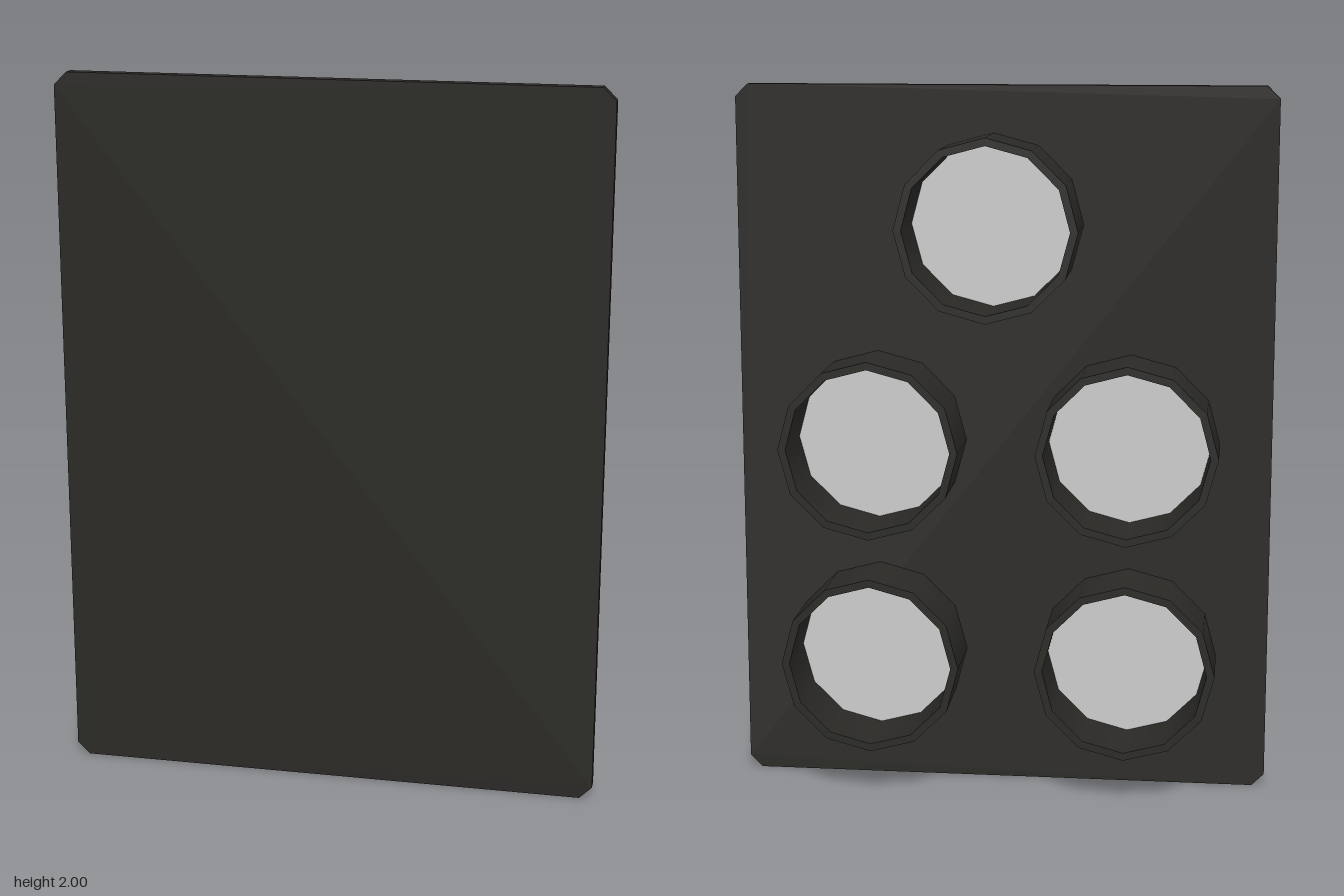
import * as THREE from 'three';

const SIDES = 12;
const BACK = -0.12, PLATE_BACK = 0.085, FRONT = 0.12;
const OUTER = 0.252, INNER = 0.23;

export function createModel() {
  const model = new THREE.Group();
  const dark = new THREE.MeshStandardMaterial({ color: 0x2a2926 });
  const darkInside = new THREE.MeshStandardMaterial({ color: 0x2a2926, side: THREE.BackSide });
  const grey = new THREE.MeshStandardMaterial({ color: 0xcccccc });

  const add = (parent, name, geometry, material) => {
    const mesh = new THREE.Mesh(geometry, material);
    mesh.name = name;
    parent.add(mesh);
    return mesh;
  };

  // Flat plate with clipped corners
  const w = 0.755, c = 0.035;
  const outline = new THREE.Shape([
    [-w + c, 0], [w - c, 0], [w, c], [w, 2 - c],
    [w - c, 2], [-w + c, 2], [-w, 2 - c], [-w, c],
  ].map(([x, y]) => new THREE.Vector2(x, y)));
  const plate = new THREE.ExtrudeGeometry(outline, { depth: FRONT - PLATE_BACK, bevelEnabled: false });
  add(model, 'plate', plate.translate(0, 0, PLATE_BACK), dark);

  // Hollow tube walls run along z; rim and disc face the back
  const wall = (r) => new THREE.CylinderGeometry(r, r, PLATE_BACK - BACK, SIDES, 1, true)
    .rotateX(Math.PI / 2).translate(0, 0, (PLATE_BACK + BACK) / 2);
  const outerWall = wall(OUTER);
  const innerWall = wall(INNER);
  const rim = new THREE.RingGeometry(INNER, OUTER, SIDES).rotateY(Math.PI).translate(0, 0, BACK);
  const disc = new THREE.CircleGeometry(INNER, SIDES).rotateY(Math.PI).translate(0, 0, PLATE_BACK - 0.003);

  // One cup at the top, two rows of two below
  const centres = [[0.03, 1.617], [-0.358, 1.003], [0.36, 1.003], [-0.358, 0.385], [0.36, 0.385]];
  for (const [x, y] of centres) {
    const cup = new THREE.Group();
    cup.name = 'cup';
    cup.position.set(x, y, 0);
    add(cup, 'outerWall', outerWall, dark);
    add(cup, 'innerWall', innerWall, darkInside);
    add(cup, 'rim', rim, dark);
    add(cup, 'disc', disc, grey);
    model.add(cup);
  }
  return model;
}
